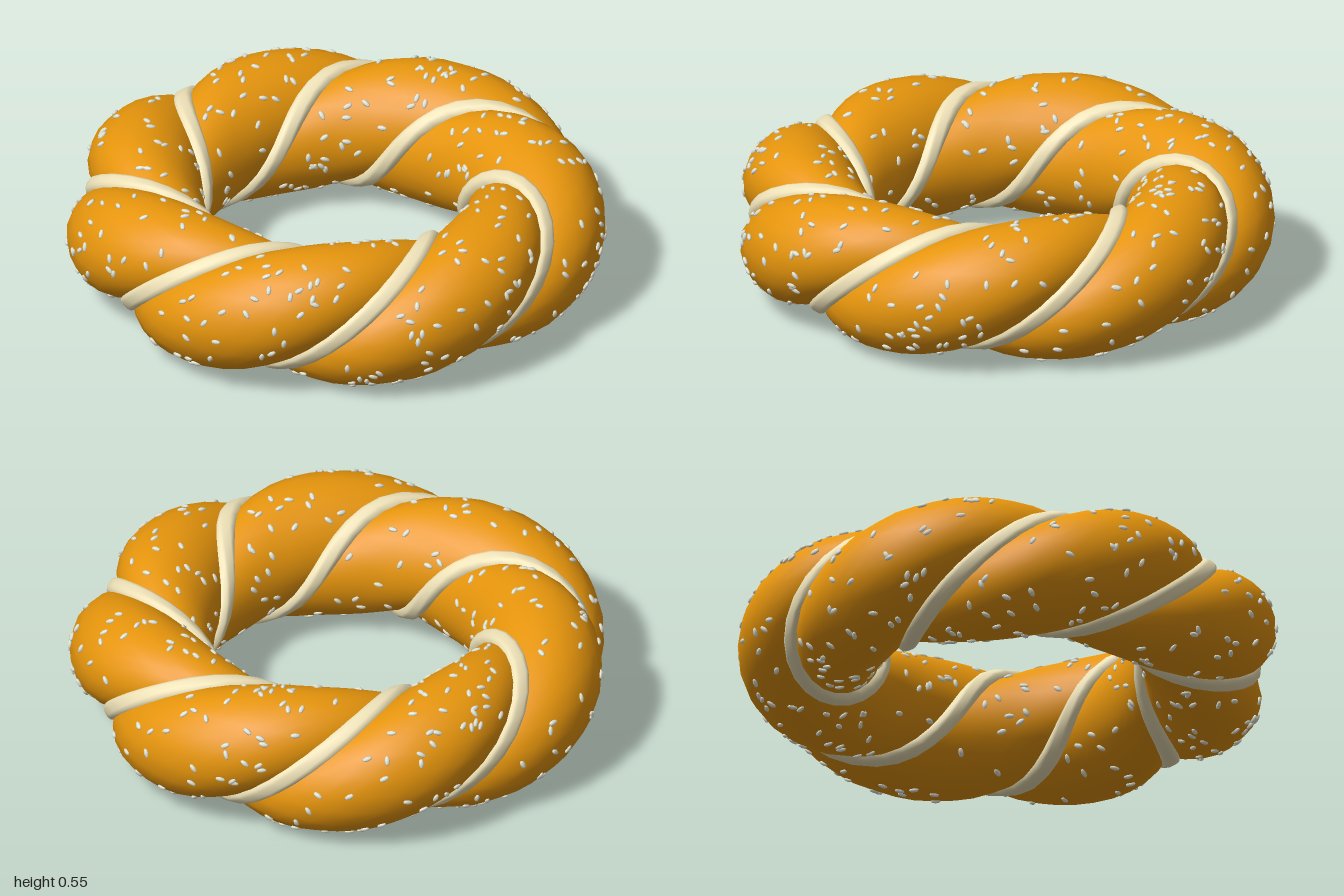
import * as THREE from 'three';
import { ParametricGeometry } from 'three/addons/geometries/ParametricGeometry.js';
import { mergeGeometries } from 'three/addons/utils/BufferGeometryUtils.js';

const LOBES = 7, RING = 0.7, MID_Y = 0.27, START = 0.28;
const PITCH = (2 * Math.PI) / LOBES;

// Point on the twisted ring: phi runs round the dough section (0 outside, PI/2 top),
// v runs across one lobe, and every lobe shifts two places per turn of phi.
function ringPoint(phi, v, r, target) {
  const theta = START + v * PITCH - (2 * phi) / LOBES;
  const d = RING + r * Math.cos(phi);
  return target.set(d * Math.cos(theta), MID_Y + r * Math.sin(phi), d * Math.sin(theta));
}

// Plump lobe, fuller on the outside of the ring
function lobePoint(phi, v, target) {
  const bulge = 1 - Math.pow(Math.abs(2 * v - 1), 2.3);
  return ringPoint(phi, v, 0.195 + (0.069 + 0.038 * Math.cos(phi)) * bulge, target);
}

// Pale seam lying in the groove between lobes, its edges sunk into the dough
function seamPoint(phi, t, target) {
  const side = 2 * t - 1;
  const half = 0.082 - 0.008 * Math.cos(phi);
  return ringPoint(phi, side * half, 0.234 - 0.024 * side ** 4, target);
}

function seededRandom(seed) {
  return () => (seed = (seed * 16807) % 2147483647) / 2147483647;
}

function makeSeeds(count) {
  const rand = seededRandom(4711);
  const seed = new THREE.SphereGeometry(1, 6, 4);
  const parts = [];
  const p = new THREE.Vector3(), a = new THREE.Vector3(), b = new THREE.Vector3();
  const basis = new THREE.Matrix4();
  while (parts.length < count) {
    const phi = rand() * 2 * Math.PI;
    const v = 0.14 + 0.72 * rand();
    const lobe = Math.floor(rand() * LOBES);
    // Thin out towards the hole to keep the density even
    if (rand() > (RING + 0.27 * Math.cos(phi)) / 0.97) continue;
    lobePoint(phi, v, p);
    lobePoint(phi + 0.01, v, a).sub(p).normalize();
    lobePoint(phi, v + 0.01, b).sub(p);
    const normal = a.clone().cross(b).normalize();
    const along = a.clone().applyAxisAngle(normal, rand() * Math.PI);
    const across = along.clone().cross(normal);
    basis.makeBasis(across, along, normal).setPosition(p);
    basis.scale(new THREE.Vector3(0.01, 0.019, 0.008));
    parts.push(seed.clone().applyMatrix4(basis).rotateY(-lobe * PITCH));
  }
  return mergeGeometries(parts);
}

export function createModel() {
  const group = new THREE.Group();
  group.name = 'twistedBread';
  const ring = new THREE.Group();
  ring.name = 'breadRing';
  ring.position.set(-0.005, 0, -0.012);
  group.add(ring);

  const crust = new THREE.MeshStandardMaterial({ color: 0xe6950c });
  const crumb = new THREE.MeshStandardMaterial({ color: 0xeee2b8, side: THREE.DoubleSide });
  const sesame = new THREE.MeshStandardMaterial({ color: 0xe4e6d8 });

  const lobeGeo = new ParametricGeometry(
    (u, v, target) => lobePoint(u * 2 * Math.PI, v, target), 24, 10);
  const seamGeo = new ParametricGeometry(
    (u, v, target) => seamPoint(u * 2 * Math.PI, v, target), 24, 6);

  // Seven dough lobes with a seam beside each
  for (let i = 0; i < LOBES; i++) {
    const lobe = new THREE.Mesh(lobeGeo, crust);
    lobe.name = `doughLobe${i + 1}`;
    const seam = new THREE.Mesh(seamGeo, crumb);
    seam.name = `paleSeam${i + 1}`;
    lobe.rotation.y = seam.rotation.y = -i * PITCH;
    ring.add(lobe, seam);
  }

  // Sesame seeds scattered over the whole crust
  const seeds = new THREE.Mesh(makeSeeds(560), sesame);
  seeds.name = 'sesameSeeds';
  ring.add(seeds);
  return group;
}
